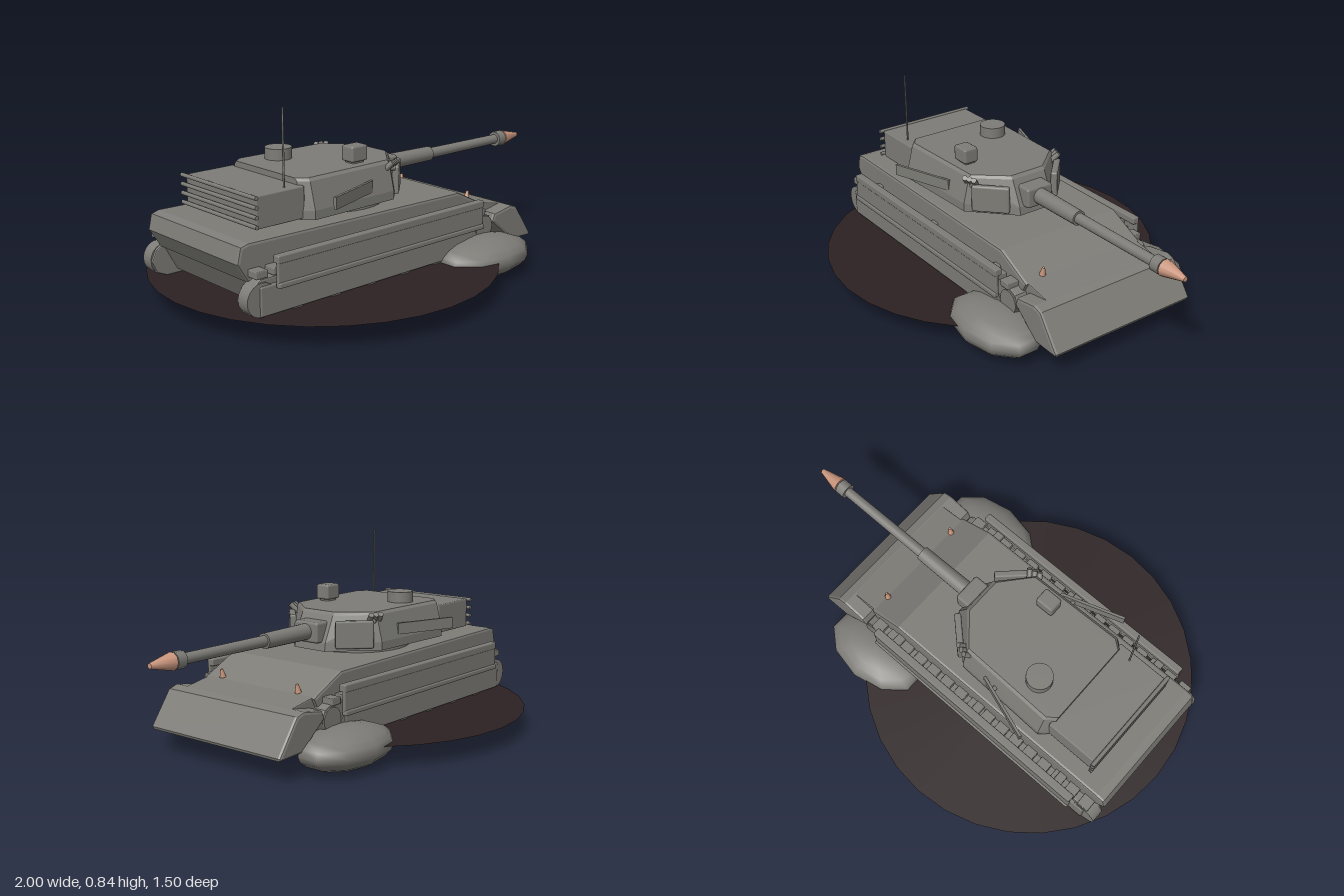
import * as THREE from 'three';
import { ConvexGeometry } from 'three/addons/geometries/ConvexGeometry.js';
import { RoundedBoxGeometry } from 'three/addons/geometries/RoundedBoxGeometry.js';

export function createModel() {
  const model = new THREE.Group();
  model.name = 'tank';
  const armour = new THREE.MeshStandardMaterial({ color: 0x7d7c77 });
  armour.name = 'armour grey';
  const copper = new THREE.MeshStandardMaterial({ color: 0xc9957c });
  copper.name = 'copper';
  const earth = new THREE.MeshStandardMaterial({ color: 0x2c2122, side: THREE.DoubleSide });
  earth.name = 'dark earth';

  const add = (name, geo, mat = armour, x = 0, y = 0, z = 0) => {
    const mesh = new THREE.Mesh(geo, mat);
    mesh.name = name;
    mesh.position.set(x, y, z);
    model.add(mesh);
    return mesh;
  };
  // Box given by its limits, with softened edges
  const block = (name, [x0, x1], [y0, y1], [z0, z1], r = 0.006) =>
    add(name, new RoundedBoxGeometry(x1 - x0, y1 - y0, z1 - z0, 1, r), armour,
      (x0 + x1) / 2, (y0 + y1) / 2, (z0 + z1) / 2);
  // Side profile extruded across z, bevelled inside its outline
  const prism = (name, pts, z0, z1, b) => {
    const shape = new THREE.Shape(pts.map(p => new THREE.Vector2(p[0], p[1])));
    const geo = new THREE.ExtrudeGeometry(shape, {
      depth: z1 - z0 - 2 * b, bevelEnabled: true, bevelSize: b, bevelThickness: b,
      bevelOffset: -b, bevelSegments: 2,
    });
    return add(name, geo, armour, 0, 0, z0 + b);
  };
  // Round bar between two points, radius r0 at the start and r1 at the end
  const rod = (name, a, b, r0, r1 = r0, sides = 16, mat = armour) => {
    const p = new THREE.Vector3(...a), q = new THREE.Vector3(...b);
    const dir = q.clone().sub(p);
    const mesh = add(name, new THREE.CylinderGeometry(r1, r0, dir.length(), sides), mat);
    mesh.position.copy(p).add(q).multiplyScalar(0.5);
    mesh.quaternion.setFromUnitVectors(new THREE.Vector3(0, 1, 0), dir.normalize());
    return mesh;
  };

  // Ground patch
  add('groundPatch', new THREE.CircleGeometry(0.75, 32).rotateX(-Math.PI / 2), earth, -0.25, 0.1, 0);

  // Hull and front blade
  prism('upperHull', [[-0.92, 0.31], [-0.905, 0.375], [-0.87, 0.385], [0.26, 0.37], [0.43, 0.285],
    [0.4, 0.23], [-0.87, 0.23]], -0.308, 0.308, 0.012);
  prism('lowerHull', [[-0.87, 0.25], [0.42, 0.29], [0.55, 0.267], [0.48, 0.14], [-0.8, 0.12]], -0.295, 0.295, 0.006);
  prism('blade', [[0.425, 0.215], [0.44, 0.25], [0.55, 0.268], [0.59, 0.255], [0.69, 0.112], [0.685, 0.1],
    [0.56, 0.105]], -0.362, 0.362, 0.012);

  for (const s of [-1, 1]) {
    const side = s > 0 ? 'left' : 'right';
    const span = (a, b) => (s > 0 ? [a, b] : [-b, -a]);

    // Track with rounded ends
    prism(side + 'Track', [[-0.85, 0.1], [-0.895, 0.12], [-0.917, 0.17], [-0.895, 0.22], [-0.85, 0.25],
      [0.37, 0.265], [0.415, 0.245], [0.435, 0.2], [0.41, 0.155], [0.34, 0.1]], ...span(0.29, 0.352), 0.006);
    for (let i = 0; i < 16; i++)
      block(side + 'TrackLink', [-0.875 + i * 0.08, -0.82 + i * 0.08], [0.255, 0.285], span(0.29, 0.36), 0.004);

    // Wheels and the low side panel in front of them
    const wheels = [[-0.85, 0.172, 0.068], [0.375, 0.2, 0.052]];
    for (let i = 0; i < 6; i++) wheels.push([-0.68 + i * 0.19, 0.157, 0.06]);
    for (const [x, y, r] of wheels)
      rod(side + 'Wheel', [x, y, s * 0.3], [x, y, s * 0.358], r, r, 20);
    block(side + 'LowerPanel', [-0.86, 0.3], [0.105, 0.225], span(0.345, 0.365), 0.008);

    // Side skirt with rails
    block(side + 'Skirt', [-0.795, 0.335], [0.21, 0.325], span(0.372, 0.388));
    block(side + 'SkirtTopRail', [-0.795, 0.335], [0.305, 0.337], span(0.355, 0.39));
    block(side + 'SkirtLowerRail', [-0.795, 0.335], [0.21, 0.232], span(0.37, 0.396));
    for (const x of [-0.7, -0.23, 0.24])
      block(side + 'SkirtBracket', [x - 0.02, x + 0.02], [0.27, 0.3], span(0.3, 0.38));

    // Dust cloud beside the blade
    const dust = add(side + 'DustCloud', new THREE.SphereGeometry(1, 10, 10).rotateY(Math.PI / 10), armour,
      0.335, 0.092, s * 0.395);
    dust.scale.set(0.25, 0.087, 0.155);

    // Small front marker
    rod(side + 'Marker', [0.415, 0.295, s * 0.212], [0.422, 0.33, s * 0.212], 0.014, 0.006, 8, copper);

    // Angled cheek plate on the turret front
    const cheek = add(side + 'CheekPlate', new RoundedBoxGeometry(0.165, 0.12, 0.03, 1, 0.008), armour,
      0.01, 0.465, s * 0.176);
    cheek.rotation.y = s * 0.76;

    // Flared stowage plate
    const flare = add(side + 'FlaredPlate', new THREE.BoxGeometry(0.296, 0.05, 0.012), armour,
      -0.34, 0.47, s * 0.297);
    flare.rotation.y = s * 0.327;
    rod(side + 'FlareBracket', [-0.26, 0.47, s * 0.23], [-0.26, 0.47, s * 0.27], 0.01);

    // Smoke launchers
    for (let i = 0; i < 3; i++) {
      const x = -0.105 + i * 0.022, z = 0.215 - i * 0.008;
      rod(side + 'SmokeLauncher', [x, 0.51, s * z], [x + 0.025, 0.55, s * (z + 0.032)], 0.012, 0.012, 10);
    }
    rod(side + 'LauncherMount', [-0.1, 0.52, s * 0.2], [-0.05, 0.52, s * 0.23], 0.012, 0.012, 8);
  }

  // Turret: matching outlines stacked at four heights
  const ring = (y, w, f) => [[-0.555, 0.86 * w], [-0.515, w], [-0.08, 0.95 * w], [f, 0.085]]
    .flatMap(([x, z]) => [new THREE.Vector3(x, y, z), new THREE.Vector3(x, y, -z)]);
  add('turret', new ConvexGeometry([
    ...ring(0.393, 0.268, 0.1), ...ring(0.43, 0.268, 0.095), ...ring(0.543, 0.238, 0.045), ...ring(0.555, 0.225, 0.03)]));
  rod('turretRing', [-0.23, 0.36, 0], [-0.23, 0.4, 0], 0.24, 0.24, 32);

  // Rear stowage bin and its rails
  block('rearBin', [-0.775, -0.54], [0.398, 0.53], [-0.235, 0.235]);
  for (let i = 0; i < 4; i++) {
    const y = 0.412 + i * 0.038;
    rod('rearRail', [-0.784, y, -0.25], [-0.784, y, 0.25], 0.009, 0.009, 8);
  }
  rod('antenna', [-0.615, 0.52, 0.2], [-0.615, 0.843, 0.2], 0.004, 0.004, 8);

  // Hatch and sight on the roof
  rod('hatch', [-0.39, 0.55, -0.122], [-0.39, 0.603, -0.122], 0.058, 0.058, 24);
  block('sightBase', [-0.235, -0.175], [0.55, 0.58], [0.125, 0.175]);
  block('sight', [-0.25, -0.163], [0.562, 0.63], [0.117, 0.187], 0.01);

  // Gun
  block('mantlet', [0.03, 0.128], [0.427, 0.518], [-0.066, 0.066], 0.012);
  rod('barrelSleeve', [0.1, 0.474, 0], [0.385, 0.472, 0], 0.036, 0.033, 20);
  rod('barrel', [0.38, 0.472, 0], [0.85, 0.472, 0], 0.024, 0.022, 20);
  rod('muzzle', [0.84, 0.472, 0], [0.885, 0.472, 0], 0.036, 0.036, 10);
  rod('muzzleNeck', [0.88, 0.472, 0], [0.9, 0.472, 0], 0.026, 0.026, 10);
  rod('muzzleTip', [0.89, 0.472, 0], [1.0, 0.472, 0], 0.037, 0.011, 10, copper);

  return model;
}
